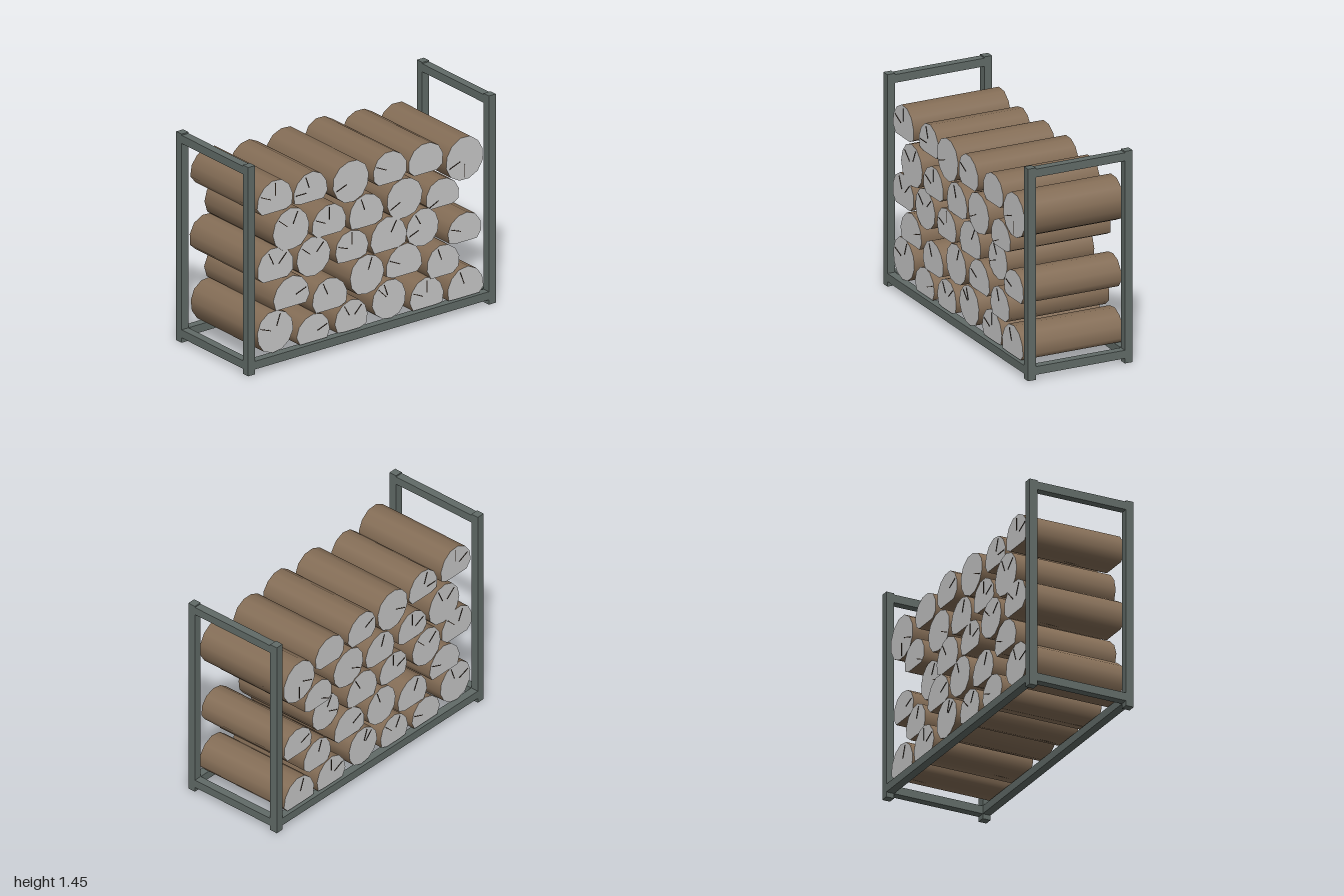
import * as THREE from 'three';

const mat = (name, color) => Object.assign(new THREE.MeshStandardMaterial({ color }), { name });

// Rows from the ground up; each log is [radius, underside y, top y, crack angles in degrees]
const ROWS = [
  [[0.146, 0.1, 0.39, 70, 160], [0.134, 0.1, 0.29, 20], [0.132, 0.1, 0.31, 120, 45],
    [0.136, 0.1, 0.37, 135, 110], [0.137, 0.1, 0.305, 90, 155], [0.146, 0.1, 0.305, 110]],
  [[0.147, 0.39, 0.6, 20], [0.142, 0.29, 0.51, 115], [0.138, 0.32, 0.59, 70],
    [0.146, 0.37, 0.585, 155], [0.132, 0.29, 0.505, 110]],
  [[0.147, 0.605, 0.83, 115, 45], [0.137, 0.54, 0.825, 140, 45], [0.133, 0.585, 0.795, 90, 160],
    [0.147, 0.575, 0.805, 60], [0.131, 0.51, 0.77, 120, 200], [0.135, 0.48, 0.68, 160]],
  [[0.147, 0.785, 1.07, 65, 140], [0.139, 0.81, 1.02, 90, 155], [0.14, 0.785, 1.01, 110],
    [0.144, 0.77, 1.045, 205], [0.134, 0.77, 0.965, 205]],
  [[0.145, 1.075, 1.295, 90, 155], [0.138, 1.06, 1.265, 110, 180], [0.146, 0.985, 1.275, 200],
    [0.137, 1.045, 1.265, 155], [0.14, 1.03, 1.24], [0.151, 0.895, 1.205, 200, 270]],
];
// Half lengths of the shorter logs, by row and place
const SHORT = { '2-4': 0.315, '4-1': 0.335 };

export function createModel() {
  const model = new THREE.Group();
  model.name = 'firewoodRack';
  const steel = mat('paintedSteel', 0x616b67);
  const bark = mat('bark', 0x846d56);
  const cutWood = mat('cutWood', 0xc8c8c8);
  const crackDark = mat('crack', 0x2a2018);

  const bar = (name, w, h, d, x, y, z) => {
    const m = new THREE.Mesh(new THREE.BoxGeometry(w, h, d), steel);
    m.name = name;
    m.position.set(x, y, z);
    model.add(m);
  };

  // Rack: four posts, front and back rails, side rails top and bottom
  for (const s of [-1, 1]) {
    for (const t of [-1, 1]) bar('post', 0.056, 1.45, 0.056, s * 0.972, 0.725, t * 0.35);
    bar('longRail', 1.888, 0.056, 0.056, 0, 0.062, s * 0.35);
    bar('bottomSideRail', 0.056, 0.056, 0.644, s * 0.972, 0.062, 0);
    bar('topSideRail', 0.056, 0.056, 0.644, s * 0.972, 1.413, 0);
  }

  let seed = 7;
  const rand = () => (seed = (seed * 16807) % 2147483647) / 2147483647;

  // Log: slightly uneven cylinder along z, flattened underneath, with smooth bark
  const logGeometry = (r, floor, half) => {
    const g = new THREE.CylinderGeometry(r, r, half * 2, 12);
    g.rotateX(Math.PI / 2);
    g.rotateZ(rand() * Math.PI);
    const p = g.attributes.position;
    const phase = rand() * 6.28;
    for (let i = 0; i < p.count; i++) {
      const a = Math.atan2(p.getY(i), p.getX(i));
      const k = 1 + 0.02 * Math.sin(3 * a + phase);
      const x = p.getX(i) * k;
      const y = p.getY(i) * k;
      p.setXY(i, y < floor ? x * 0.94 : x, Math.max(y, floor));
    }
    return g;
  };

  // Thin radial drying crack on both cut ends
  const addCrack = (log, r, half, angle) => {
    for (const s of [-1, 1]) {
      const crack = new THREE.Mesh(new THREE.BoxGeometry(r * 0.6, 0.005, 0.004), crackDark);
      crack.name = 'crack';
      crack.position.set(Math.cos(angle) * r * 0.56, Math.sin(angle) * r * 0.56, s * (half + 0.001));
      crack.rotation.z = angle;
      log.add(crack);
    }
  };

  // Stack: rows of six and five logs alternate, offset sideways
  ROWS.forEach((row, j) => row.forEach(([r, bottom, top, ...cracks], i) => {
    const half = SHORT[`${j}-${i}`] ?? 0.35 + rand() * 0.015;
    const log = new THREE.Group();
    log.name = 'log';
    log.position.set((j % 2 ? -0.64 : -0.765) + i * 0.306, top - r, (rand() - 0.5) * 0.01);
    const body = new THREE.Mesh(
      logGeometry(r, bottom - top + r, half), [bark, cutWood, cutWood]);
    body.name = 'logBody';
    log.add(body);
    for (const deg of cracks) addCrack(log, r, half, THREE.MathUtils.degToRad(deg));
    model.add(log);
  }));

  return model;
}
